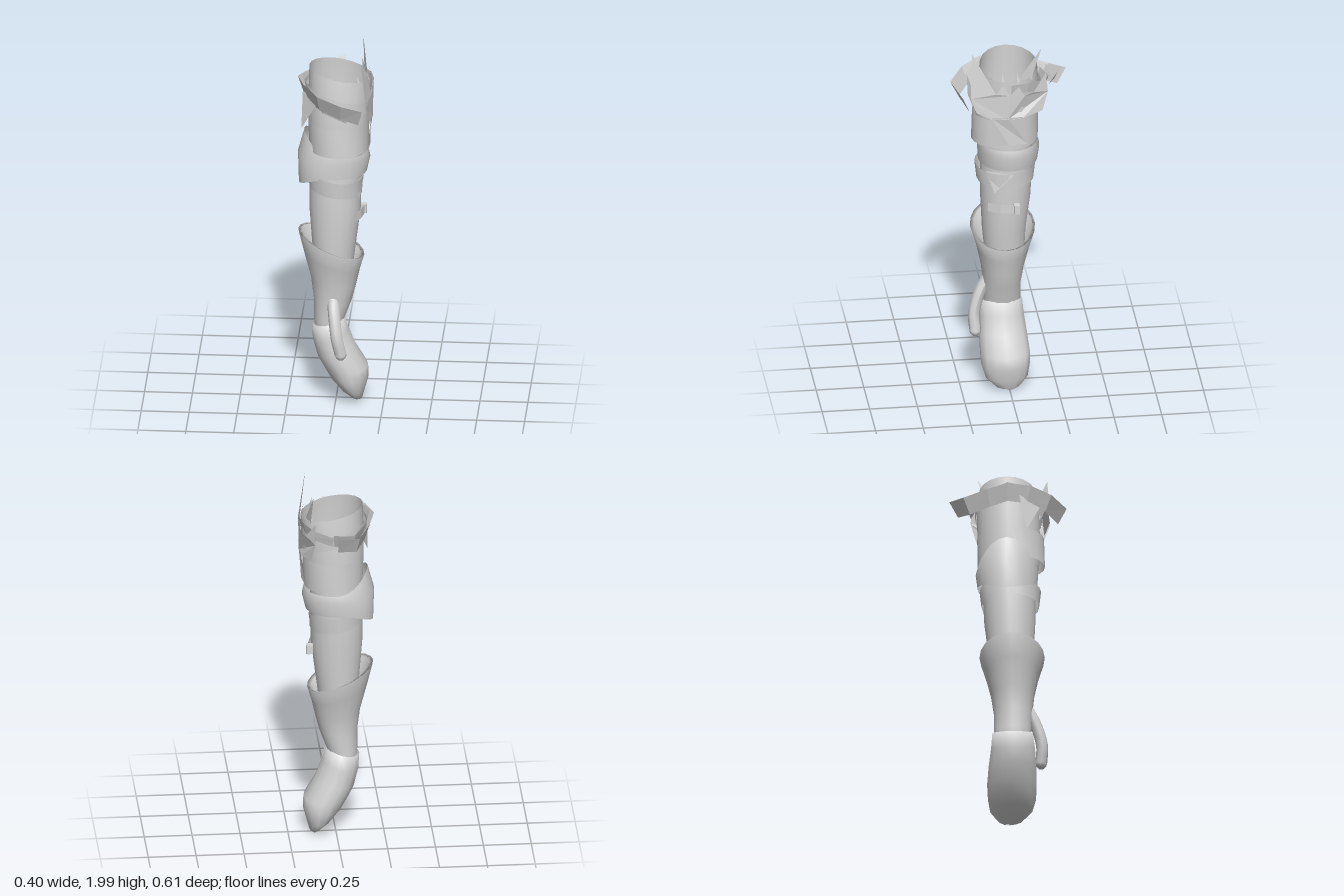
import * as THREE from 'three';

const grey = new THREE.MeshStandardMaterial({ color: 0xd6d6d6, side: THREE.DoubleSide });
grey.name = 'plain light grey';

function mesh(name, geometry) {
  geometry.computeVertexNormals();
  const m = new THREE.Mesh(geometry, grey);
  m.name = name;
  return m;
}

// Indexed grid of rows x columns, optionally closed around.
function grid(points, rows, cols, closed) {
  const index = [];
  for (let r = 0; r < rows - 1; r++) {
    for (let c = 0; c < (closed ? cols : cols - 1); c++) {
      const d = (c + 1) % cols;
      const a = r * cols + c, b = r * cols + d;
      index.push(a, b, a + cols, b, b + cols, a + cols);
    }
  }
  const g = new THREE.BufferGeometry();
  g.setAttribute('position', new THREE.Float32BufferAttribute(points, 3));
  g.setIndex(index);
  return g;
}

// Rings from top to bottom: [y, xMin, xMax, zMin, zMax, slope toward +x, extra height at -x]
function loft(name, rings, n = 20) {
  const p = [];
  for (const [y, x0, x1, z0, z1, slope = 0, peak = 0] of rings) {
    for (let i = 0; i < n; i++) {
      const a = (i / n) * Math.PI * 2, c = Math.cos(a), s = Math.sin(a);
      p.push((x0 + x1) / 2 + c * (x1 - x0) / 2,
        y + slope * c + peak * Math.max(0, -c) ** 2,
        (z0 + z1) / 2 + s * (z1 - z0) / 2);
    }
  }
  return mesh(name, grid(p, rings.length, n, true));
}

// Upright ribbon along a path of [x, y, z]
function ribbon(name, path, height, lean = 0) {
  const p = [];
  for (const h of [0.5, -0.5]) {
    for (const [x, y, z] of path) p.push(x * (1 + lean * h), y + h * height, z * (1 + lean * h));
  }
  return mesh(name, grid(p, 2, path.length, false).toNonIndexed());
}

// Flat outline in (z, y), bent round the +x side of the sleeve
function bentPlate(name, outline) {
  const g = new THREE.ShapeGeometry(new THREE.Shape(outline.map(([z, y]) => new THREE.Vector2(z, y))));
  const p = g.attributes.position;
  for (let i = 0; i < p.count; i++) {
    const z = p.getX(i), y = p.getY(i);
    const x = 0.195 - (z < 0 ? 1.8 : 0.6) * z * z - Math.max(0, y - 1.8) * 0.15 - Math.max(0, 1.65 - y) * 0.08;
    p.setXYZ(i, x, y, z);
  }
  return mesh(name, g.toNonIndexed());
}

function triangle(name, pts) {
  const g = new THREE.BufferGeometry();
  g.setAttribute('position', new THREE.Float32BufferAttribute(pts.flat(), 3));
  return mesh(name, g);
}

export function createModel() {
  const model = new THREE.Group();
  model.name = 'armouredArm';

  // Open upper sleeve and its overlapping rolls
  model.add(loft('upperSleeve', [
    [1.86, -0.14, 0.185, -0.155, 0.145, -0.03],
    [1.72, -0.145, 0.18, -0.165, 0.16, -0.01],
    [1.58, -0.145, 0.17, -0.16, 0.165],
    [1.43, -0.14, 0.165, -0.155, 0.16],
  ]));
  model.add(loft('sleeveWrap', [
    [1.76, -0.16, 0.185, -0.175, 0.175, -0.05],
    [1.7, -0.16, 0.182, -0.172, 0.175, -0.05],
  ]));
  model.add(loft('sleeveHem', [
    [1.6, -0.145, 0.174, -0.163, 0.185],
    [1.44, -0.14, 0.17, -0.16, 0.19],
  ]));

  // Elbow band, rising to a pointed guard on the outer side
  model.add(loft('elbowGuard', [
    [1.42, -0.165, 0.168, -0.16, 0.15, 0, 0.11],
    [1.38, -0.2, 0.178, -0.17, 0.155, 0, 0.02],
    [1.3, -0.195, 0.16, -0.16, 0.15, 0, -0.07],
  ], 24));

  // Forearm and crossed straps
  model.add(loft('forearm', [
    [1.5, -0.13, 0.14, -0.13, 0.13],
    [1.3, -0.14, 0.13, -0.135, 0.14],
    [1.1, -0.14, 0.13, -0.125, 0.14],
    [0.9, -0.125, 0.105, -0.1, 0.13],
    [0.7, -0.11, 0.08, -0.09, 0.11],
  ]));
  model.add(loft('upperStrap', [
    [1.29, -0.14, 0.14, -0.15, 0.17, -0.02],
    [1.2, -0.14, 0.135, -0.14, 0.16, -0.02],
  ]));
  model.add(triangle('strapFlap', [[0.1, 1.28, 0.12], [0.145, 1.27, -0.02], [0.125, 1.16, 0.08]]));
  model.add(ribbon('claspStrap', [[0.1, 1.07, 0.11], [0.132, 1.07, 0.05], [0.142, 1.07, 0], [0.155, 1.07, -0.05]], 0.05));
  const clasp = mesh('claspBar', new THREE.BoxGeometry(0.035, 0.05, 0.03));
  clasp.position.set(0.14, 1.07, -0.035);
  model.add(clasp);

  // Flared gauntlet cuff with a thick rim
  model.add(loft('gauntletCuff', [
    [0.78, -0.13, 0.1, -0.1, 0.13, -0.04],
    [0.895, -0.18, 0.13, -0.135, 0.17, -0.07],
    [0.9, -0.197, 0.148, -0.15, 0.19, -0.07],
    [0.8, -0.168, 0.125, -0.12, 0.16, -0.05],
    [0.68, -0.13, 0.105, -0.09, 0.135, -0.02],
    [0.58, -0.115, 0.085, -0.075, 0.125],
    [0.47, -0.115, 0.045, -0.075, 0.12],
    [0.42, -0.11, 0.04, -0.07, 0.11],
  ]));

  // Curled mitten hand, closed at both ends
  model.add(loft('hand', [
    [0.46, -0.04, -0.03, 0.02, 0.03],
    [0.46, -0.125, 0.045, -0.085, 0.132, 0.025],
    [0.38, -0.12, 0.068, -0.092, 0.142, 0.03],
    [0.29, -0.1, 0.105, -0.105, 0.148, 0.02],
    [0.2, -0.06, 0.168, -0.115, 0.148, 0.005],
    [0.14, -0.028, 0.17, -0.112, 0.145],
    [0.075, 0.02, 0.15, -0.1, 0.125, -0.01],
    [0.03, 0.065, 0.138, -0.06, 0.075, -0.012],
    [0.005, 0.105, 0.118, -0.02, 0.005],
  ], 14));

  // Thumb: tube with rounded ends
  const thumbPath = new THREE.CatmullRomCurve3([[-0.01, 0.6, 0.105], [0.0, 0.52, 0.145],
    [0.015, 0.41, 0.175], [0.035, 0.32, 0.17]].map(v => new THREE.Vector3(...v)));
  model.add(mesh('thumb', new THREE.TubeGeometry(thumbPath, 12, 0.031, 8)));
  for (const t of [0, 1]) {
    const cap = mesh('thumbCap', new THREE.SphereGeometry(0.031, 8, 6));
    cap.position.copy(thumbPath.getPoint(t));
    model.add(cap);
  }

  // Loose bands standing off the outer side and the back of the sleeve
  model.add(ribbon('outerBand', [[0.01, 1.77, -0.285], [-0.1, 1.74, -0.215], [-0.155, 1.76, -0.1], [-0.185, 1.78, 0],
    [-0.15, 1.78, 0.11], [-0.08, 1.76, 0.21], [0.04, 1.74, 0.28], [0.14, 1.69, 0.23]], 0.09, 0.16));
  model.add(ribbon('innerBand', [[0.03, 1.79, -0.265], [-0.08, 1.75, -0.2], [-0.14, 1.77, -0.09], [-0.165, 1.8, 0],
    [-0.14, 1.78, 0.11], [-0.06, 1.73, 0.19], [0.07, 1.68, 0.2]], 0.08, 0.14));
  model.add(ribbon('backBand', [[-0.15, 1.77, -0.06], [-0.08, 1.75, -0.175], [0.04, 1.76, -0.205], [0.12, 1.78, -0.175],
    [0.17, 1.79, -0.09], [0.19, 1.79, 0]], 0.06, 0.08));
  model.add(triangle('sleeveFlap', [[-0.17, 1.77, 0.06], [-0.09, 1.74, 0.17], [-0.175, 1.57, 0.1]]));

  // Torn plate with spikes on the inner side, and its lower panel
  model.add(bentPlate('tornPlate', [[0.21, 1.74], [0.2, 1.99], [0.08, 1.77], [0.04, 1.82], [0.01, 1.76],
    [-0.04, 1.81], [-0.07, 1.75], [-0.12, 1.76], [-0.19, 1.85], [-0.2, 1.74], [-0.17, 1.64], [-0.06, 1.62],
    [0.02, 1.62], [0.1, 1.62], [0.18, 1.66]]));
  model.add(bentPlate('lowerPanel', [[0.1, 1.63], [0.02, 1.63], [-0.06, 1.63], [-0.09, 1.46], [0.01, 1.46], [0.11, 1.46]]));
  model.add(triangle('rearSpike', [[0.16, 1.83, -0.04], [0.14, 1.82, -0.11], [0.13, 1.995, -0.165]]));
  model.add(triangle('thinSpike', [[0.03, 1.8, -0.26], [0.04, 1.77, -0.245], [0.12, 1.78, -0.205]]));

  // Small torn points around the rim
  for (let i = 0; i < 4; i++) {
    const a = -0.8 + i * 0.55;
    const at = (b, y, r) => [0.022 + r * Math.cos(b), y, -0.005 + r * 0.93 * Math.sin(b)];
    model.add(triangle('rimPoint', [at(a - 0.06, 1.82, 0.162), at(a + 0.06, 1.82, 0.162), at(a + 0.06, 1.88, 0.15)]));
  }
  return model;
}
